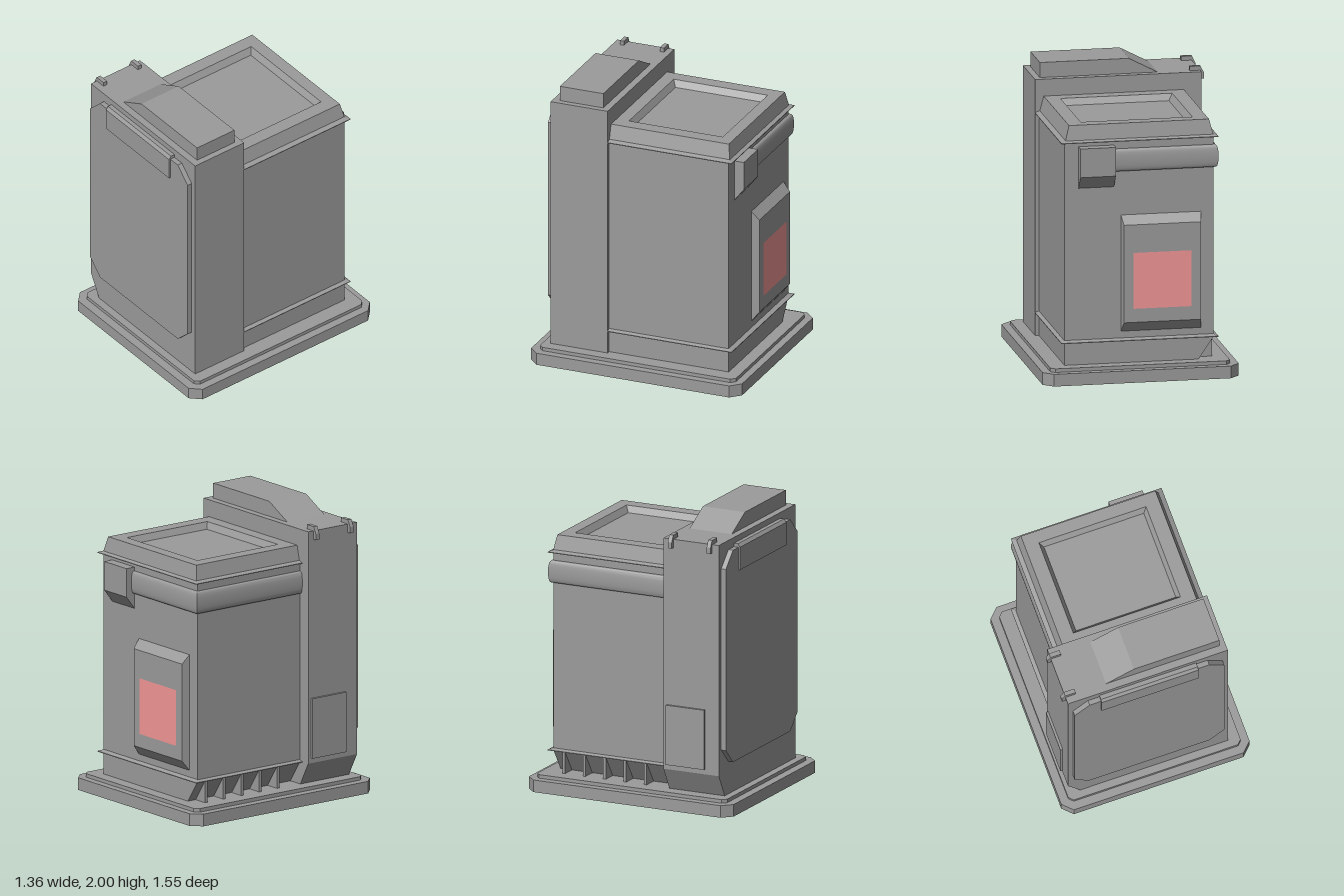
import * as THREE from 'three';
import { toCreasedNormals } from 'three/addons/utils/BufferGeometryUtils.js';

const darkGrey = new THREE.MeshStandardMaterial({ color: 0x9b9b9b });
const red = new THREE.MeshStandardMaterial({ color: 0xf29696 });

// Outline [x, y] extruded along z from z0 to z1
function prism(points, z0, z1) {
  const shape = new THREE.Shape(points.map(([a, b]) => new THREE.Vector2(a, b)));
  return new THREE.ExtrudeGeometry(shape, { depth: z1 - z0, bevelEnabled: false }).translate(0, 0, z0);
}
// Outline [x, z] extruded upward from y0 to y1
const slab = (points, y0, y1) => prism(points, 0, y1 - y0).rotateX(Math.PI / 2).translate(0, y1, 0);
// Outline [z, y] extruded sideways from x0 to x1
const sideways = (points, x0, x1) => prism(points, 0, x1 - x0).rotateY(-Math.PI / 2).translate(x1, 0, 0);

// Box given by its limits
const block = (x0, x1, y0, y1, z0, z1) => new THREE.BoxGeometry(x1 - x0, y1 - y0, z1 - z0)
  .translate((x0 + x1) / 2, (y0 + y1) / 2, (z0 + z1) / 2);

// Rectangle with cut corners
const cutRect = (x0, x1, y0, y1, c) => [
  [x0 + c, y0], [x1 - c, y0], [x1, y0 + c], [x1, y1 - c],
  [x1 - c, y1], [x0 + c, y1], [x0, y1 - c], [x0, y0 + c],
];

function fromTriangles(pos) {
  const g = new THREE.BufferGeometry();
  g.setAttribute('position', new THREE.Float32BufferAttribute(pos, 3));
  return g;
}

// Skin over rectangular rings [y, x0, x1, z0, z1], capped at the last ring
function rings(list) {
  const pos = [];
  const loops = list.map(([y, x0, x1, z0, z1]) => [[x0, y, z1], [x1, y, z1], [x1, y, z0], [x0, y, z0]]);
  const quad = (a, b, c, d) => pos.push(...a, ...b, ...c, ...a, ...c, ...d);
  for (let i = 0; i + 1 < loops.length; i++) {
    for (let k = 0; k < 4; k++) {
      const n = (k + 1) % 4;
      quad(loops[i][k], loops[i][n], loops[i + 1][n], loops[i + 1][k]);
    }
  }
  quad(...loops[loops.length - 1]);
  const g = fromTriangles(pos);
  g.computeVertexNormals();
  return g;
}

// Rounded duct running along the back and around the corner
function ductGeometry(xStart, xWall, zWall, zEnd, y, half, bulge) {
  const pos = [], n = 16;
  const station = (j) => {
    const t = (Math.PI * j) / n, d = bulge * Math.sqrt(Math.abs(Math.sin(t))), h = y + half * Math.cos(t);
    return [[xStart, h, zWall - d], [xWall - d, h, zWall - d], [xWall - d, h, zEnd]];
  };
  for (let j = 0; j < n; j++) {
    const p = station(j), q = station(j + 1);
    for (let s = 0; s < 2; s++) {
      pos.push(...p[s], ...q[s], ...q[s + 1], ...p[s], ...q[s + 1], ...p[s + 1]);
    }
  }
  return toCreasedNormals(fromTriangles(pos), 0.8);
}

export function createModel() {
  const model = new THREE.Group();
  const add = (name, geometry, material = darkGrey) => {
    const mesh = new THREE.Mesh(geometry, material);
    mesh.name = name;
    model.add(mesh);
  };

  // Base with cut corners
  add('base', slab(cutRect(-0.678, 0.678, -0.777, 0.777, 0.067), 0, 0.085));
  add('plinth', slab(cutRect(-0.62, 0.622, -0.725, 0.718, 0.03), 0.085, 0.11));

  // Tall front housing, undercut on one side
  add('frontHousing', prism([
    [-0.525, 0.11], [0.538, 0.11], [0.538, 1.895], [-0.613, 1.895], [-0.613, 0.27],
  ], 0.245, 0.665));
  add('topHousing', prism([[-0.32, 1.895], [0.495, 1.895], [0.495, 2], [-0.12, 2]], 0.295, 0.615));

  // Front door and its handle cover
  add('door', prism(cutRect(-0.577, 0.5, 0.338, 1.83, 0.108), 0.665, 0.7));
  add('handleCover', sideways([
    [0.66, 1.672], [0.712, 1.672], [0.712, 1.832], [0.695, 1.854], [0.66, 1.854],
  ], -0.387, 0.31));

  // Side hatch and clips over the housing edge
  add('sideHatch', block(-0.63, -0.6, 0.305, 0.725, 0.27, 0.56));
  for (const z of [0.29, 0.585]) {
    add('clip', prism([
      [-0.61, 1.835], [-0.61, 1.895], [-0.54, 1.895], [-0.54, 1.925],
      [-0.615, 1.925], [-0.638, 1.878], [-0.638, 1.835],
    ], z, z + 0.03));
  }

  // Main body with an undercut and supporting fins
  add('body', prism([
    [-0.415, 0.11], [0.512, 0.11], [0.512, 1.67], [-0.52, 1.67], [-0.52, 0.265],
  ], -0.637, 0.245));
  for (let i = 0; i < 5; i++) {
    const z = -0.57 + i * 0.155;
    add('fin', prism([[-0.415, 0.11], [-0.52, 0.265], [-0.52, 0.11]], z, z + 0.02));
  }

  // Rims with a sloped upper side
  for (const y of [0.266, 1.659]) {
    add('rim', rings([
      [y, -0.515, 0.508, -0.63, 0.245],
      [y, -0.547, 0.538, -0.668, 0.245],
      [y + 0.005, -0.547, 0.538, -0.668, 0.245],
      [y + 0.017, -0.515, 0.508, -0.637, 0.245],
    ]));
  }

  // Sloped lid with a sunken middle
  add('lid', rings([
    [1.665, -0.518, 0.508, -0.643, 0.245],
    [1.777, -0.49, 0.478, -0.623, 0.245],
    [1.777, -0.392, 0.38, -0.537, 0.155],
    [1.732, -0.364, 0.355, -0.512, 0.13],
  ]));

  // Duct and its connection box
  add('duct', ductGeometry(0.2, -0.52, -0.637, 0.245, 1.525, 0.078, 0.028));
  add('ductBox', sideways([
    [-0.63, 1.34], [-0.637, 1.34], [-0.707, 1.43], [-0.707, 1.63], [-0.63, 1.63],
  ], 0.17, 0.415));

  // Bevelled back panel with a coloured plate
  add('backPanel', rings([
    [0.637, -0.432, 0.122, 0.33, 1.14],
    [0.691, -0.42, 0.11, 0.4, 1.08],
  ]).rotateX(-Math.PI / 2));
  add('colouredPlate', new THREE.PlaneGeometry(0.4, 0.39).rotateY(Math.PI).translate(-0.155, 0.69, -0.693), red);

  return model;
}
